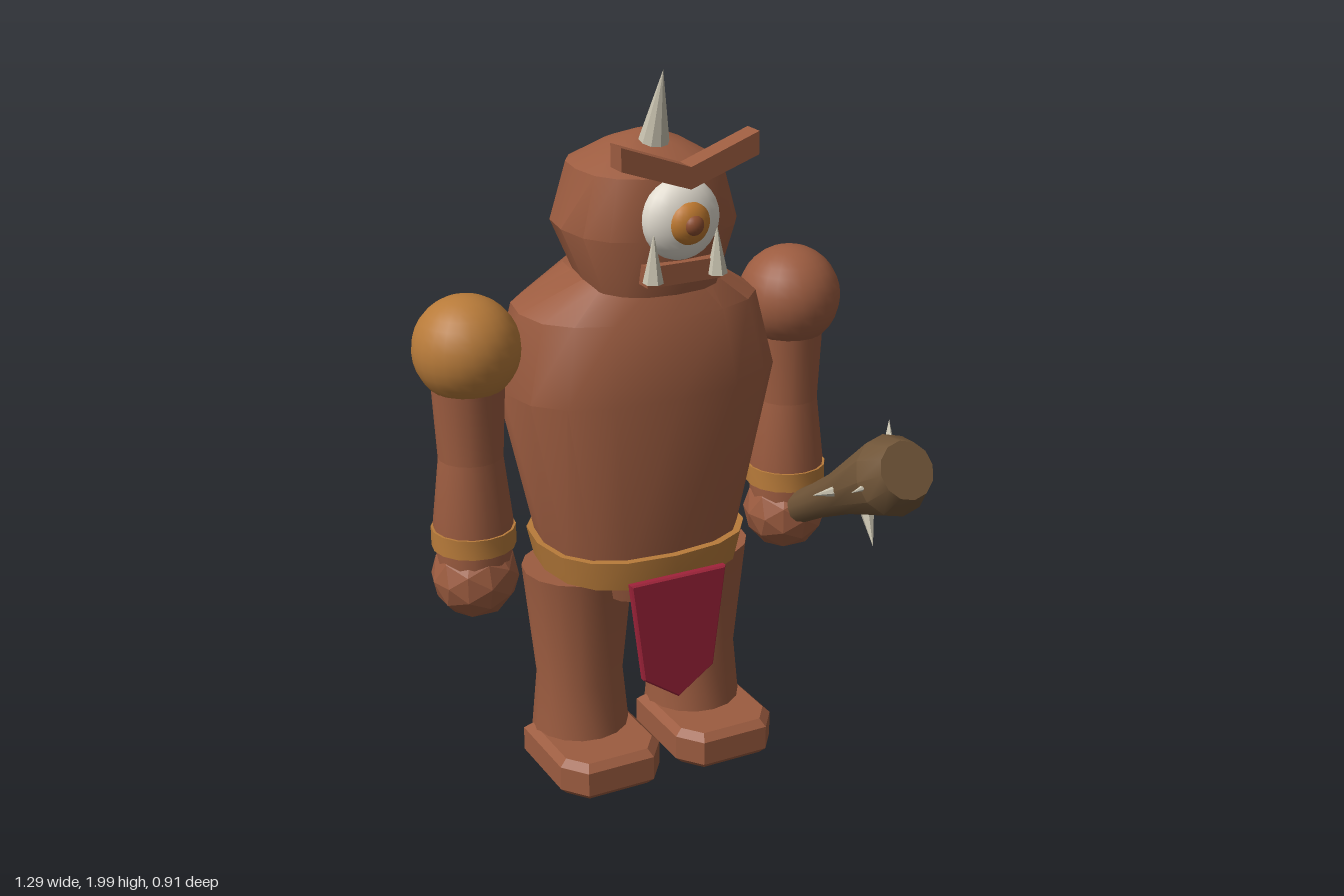
import * as THREE from 'three';
import { toCreasedNormals } from 'three/addons/utils/BufferGeometryUtils.js';

const mat = (name, color, flatShading = false) => {
  const m = new THREE.MeshStandardMaterial({ color, flatShading });
  m.name = name;
  return m;
};

// Closed skin through rounded-square rings [y, halfWidth, halfDepth, z]
function loft(rings, power = 2.5, sides = 16) {
  const pos = [], index = [];
  const first = rings[0], last = rings[rings.length - 1];
  const all = [[first[0], 0, 0, first[3]], ...rings, [last[0], 0, 0, last[3]]];
  const bend = v => Math.sign(v) * Math.abs(v) ** (2 / power);
  for (const [y, rx, rz, z] of all) {
    for (let i = 0; i < sides; i++) {
      const a = i / sides * Math.PI * 2;
      pos.push(rx * bend(Math.cos(a)), y, z + rz * bend(Math.sin(a)));
    }
  }
  for (let r = 0; r < all.length - 1; r++) {
    for (let i = 0; i < sides; i++) {
      const a = r * sides + i, b = r * sides + (i + 1) % sides;
      index.push(a, a + sides, b, b, a + sides, b + sides);
    }
  }
  const g = new THREE.BufferGeometry();
  g.setAttribute('position', new THREE.Float32BufferAttribute(pos, 3));
  g.setIndex(index);
  return toCreasedNormals(g, 0.6);
}

// Solid of revolution from [radius, y] points, closed at both ends
function turned(points, sides = 16) {
  const p = [[0, points[0][1]], ...points, [0, points[points.length - 1][1]]];
  return toCreasedNormals(new THREE.LatheGeometry(p.map(q => new THREE.Vector2(...q)), sides), 0.6);
}

function plate(points, depth, bevel = 0) {
  const shape = new THREE.Shape(points.map(q => new THREE.Vector2(...q)));
  return new THREE.ExtrudeGeometry(shape, {
    depth, bevelEnabled: bevel > 0, bevelSize: bevel, bevelThickness: bevel,
    bevelOffset: -bevel, bevelSegments: 1
  });
}

export function createModel() {
  const skin = mat('skin', 0x9c5c40);
  const roughSkin = skin;
  const leather = mat('leather', 0xb87b3a);
  const bone = mat('bone', 0xc9c3b0);
  const white = mat('eyeWhite', 0xe0dace);
  const irisColor = mat('iris', 0xc07a30);
  const pupilColor = mat('pupil', 0x8f4f30);
  const wood = mat('wood', 0x705538);
  const cloth = mat('cloth', 0xa0233a);

  const model = new THREE.Group();
  const body = new THREE.Group();
  body.name = 'body';
  body.position.x = -0.02;
  model.add(body);

  const add = (name, geo, m, x = 0, y = 0, z = 0, parent = body) => {
    const mesh = new THREE.Mesh(geo, m);
    mesh.name = name;
    mesh.position.set(x, y, z);
    parent.add(mesh);
    return mesh;
  };
  // Faceted cone from a base point to a tip
  const spike = (name, base, tip, r, sides = 8, parent = body) => {
    const a = new THREE.Vector3(...base), b = new THREE.Vector3(...tip);
    const d = b.clone().sub(a);
    const g = toCreasedNormals(new THREE.ConeGeometry(r, d.length(), sides), 0.1);
    const mesh = add(name, g, bone, 0, 0, 0, parent);
    mesh.position.copy(a.add(b).multiplyScalar(0.5));
    mesh.quaternion.setFromUnitVectors(new THREE.Vector3(0, 1, 0), d.normalize());
  };

  // Trunk
  add('torso', loft([
    [0.66, 0.275, 0.22, -0.19], [1.15, 0.387, 0.263, -0.192],
    [1.36, 0.336, 0.223, -0.192], [1.46, 0.185, 0.165, -0.19]
  ]), skin);
  add('belt', loft([[0.61, 0.28, 0.24, -0.195], [0.695, 0.3, 0.25, -0.195]]), leather);
  add('pelvis', loft([[0.55, 0.17, 0.21, -0.19], [0.64, 0.2, 0.22, -0.19]]), skin);
  add('loincloth', plate([
    [-0.145, 0.64], [-0.108, 0.345], [0, 0.27], [0.108, 0.345], [0.145, 0.64]
  ], 0.015, 0.005), cloth, 0, 0, 0.05);

  // Head
  add('head', loft([
    [1.435, 0.178, 0.175, -0.115], [1.59, 0.237, 0.22, -0.135],
    [1.745, 0.195, 0.19, -0.13], [1.8, 0.1, 0.095, -0.13], [1.828, 0.02, 0.02, -0.13]
  ]), skin);
  const disc = (name, r, depth, m, z) =>
    add(name, new THREE.SphereGeometry(r, 20, 14), m, 0, 1.64, z).scale.set(1, 1, depth / r);
  disc('eyeball', 0.107, 0.065, white, 0.072);
  disc('iris', 0.058, 0.04, irisColor, 0.115);
  disc('pupil', 0.027, 0.022, pupilColor, 0.144);
  add('brow', plate([
    [-0.193, 1.795], [0, 1.728], [0.193, 1.795],
    [0.193, 1.855], [0, 1.785], [-0.193, 1.855]
  ], 0.06), skin, 0, 0, 0.07);
  add('jaw', new THREE.BoxGeometry(0.21, 0.055, 0.1), skin, 0, 1.503, 0.045);
  spike('horn', [0, 1.785, -0.08], [0, 2.0, -0.02], 0.046, 10);

  for (const s of [-1, 1]) {
    const side = s > 0 ? 'left' : 'right';
    spike(side + 'Tusk', [s * 0.092, 1.49, 0.1], [s * 0.09, 1.62, 0.1], 0.027, 6);

    // Arm
    const arm = new THREE.Group();
    arm.name = side + 'Arm';
    arm.position.set(s * 0.485, 0, -0.195);
    body.add(arm);
    add(side + 'Shoulder', new THREE.SphereGeometry(0.143, 24, 16), s > 0 ? skin : leather, 0, 1.29, 0, arm);
    add(side + 'UpperArm', turned([[0.087, 0.99], [0.1, 1.25]]), skin, 0, 0, 0, arm);
    add(side + 'Forearm', turned([[0.1, 0.68], [0.108, 0.8], [0.086, 0.992]]), skin, 0, 0, 0, arm);
    add(side + 'Bracelet', turned([[0.114, 0.735], [0.114, 0.79]]), leather, 0, 0, 0, arm);
    const fist = toCreasedNormals(new THREE.IcosahedronGeometry(0.12, 1), 0.05);
    add(side + 'Fist', fist, roughSkin, 0, 0.645, 0, arm);

    // Leg and foot
    add(side + 'Leg', turned([[0.142, 0.065], [0.122, 0.28], [0.156, 0.61]]), skin, s * 0.18, 0, -0.195);
    const foot = plate([
      [-0.153, 0.25], [-0.153, 0], [-0.1, -0.07], [0.1, -0.07], [0.153, 0], [0.153, 0.25]
    ], 0.07, 0.02);
    foot.rotateX(-Math.PI / 2);
    add(side + 'Foot', foot, skin, s * 0.18, 0.03, 0);
  }

  // Club, built along its own axis and tilted forward
  const club = new THREE.Group();
  club.name = 'club';
  model.add(club);
  const grip = new THREE.Vector3(0.465, 0.63, -0.19);
  const axis = new THREE.Vector3(0, 0.504, 0.864).normalize();
  const shaft = add('clubShaft', turned([
    [0.045, -0.03], [0.05, 0.2], [0.064, 0.36], [0.112, 0.63], [0.08, 0.705]
  ], 12), wood, grip.x, grip.y, grip.z, club);
  shaft.quaternion.setFromUnitVectors(new THREE.Vector3(0, 1, 0), axis);
  const tips = [
    [0.64, 0.86, 0.22], [0.325, 0.85, 0.18], [0.51, 1.065, 0.26],
    [0.45, 0.72, 0.297], [0.325, 0.93, 0.37]
  ];
  for (const t of tips) {
    // Each spike stands square to the shaft
    const tip = new THREE.Vector3(...t);
    const along = tip.clone().sub(grip).dot(axis);
    const root = grip.clone().addScaledVector(axis, along);
    const base = tip.clone().add(root.sub(tip).setLength(0.12));
    spike('clubSpike', base.toArray(), t, 0.025, 6, club);
  }
  return model;
}
